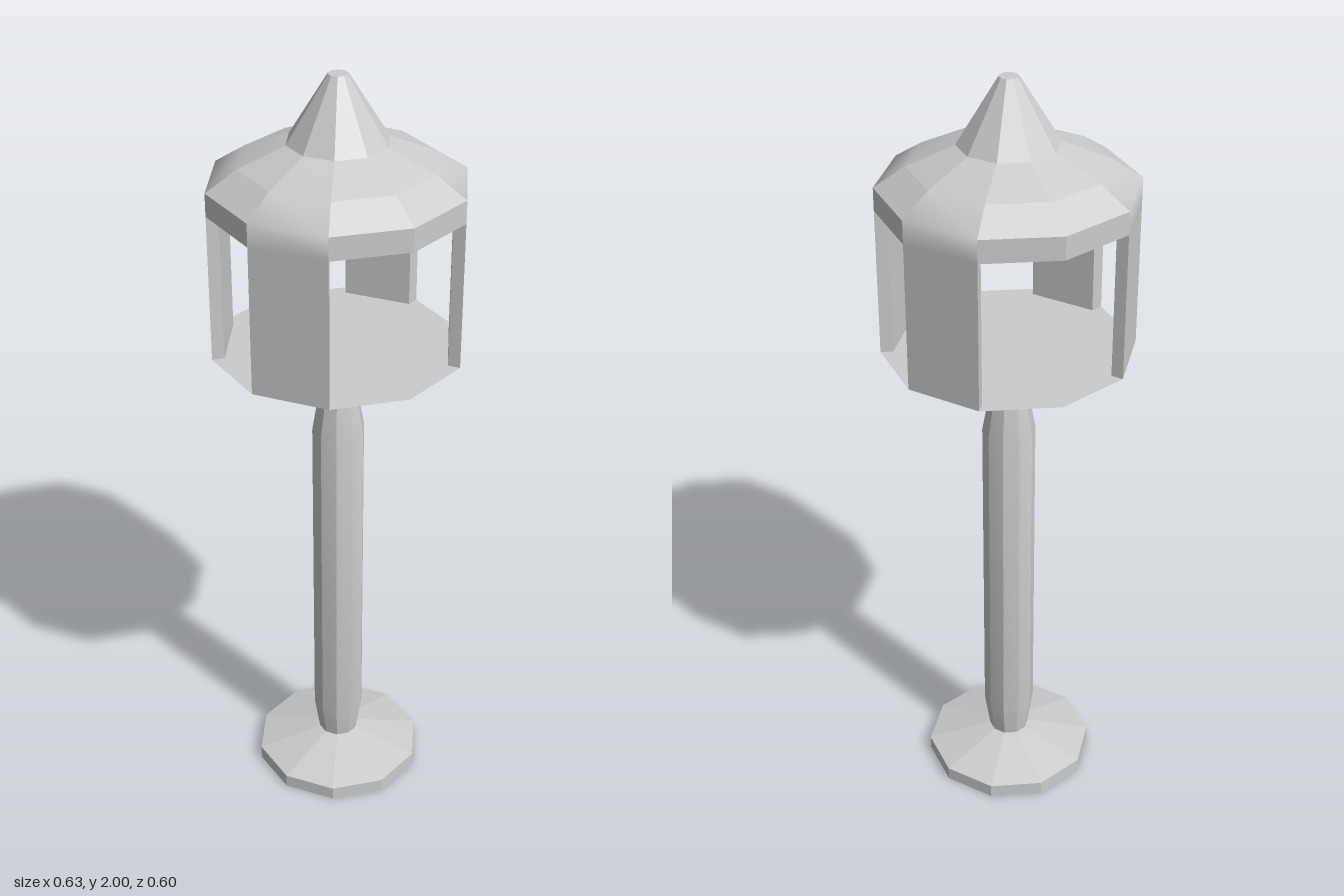
import * as THREE from 'three';
import { toCreasedNormals } from 'three/addons/utils/BufferGeometryUtils.js';

const SIDES = 10, STEP = (Math.PI * 2) / SIDES;
const R = 0.316, R_IN = 0.285;            // lantern outer and inner radius
const FLOOR = 1.307, CEIL = 1.684, EAVE = 1.742;
const CLOSED = [0, 3, 5, 8];              // sides filled by a wall panel, counted from +x towards +z

const grey = new THREE.MeshStandardMaterial({ color: 0xcccccc, side: THREE.DoubleSide });
const flatGrey = new THREE.MeshStandardMaterial({ color: 0xcccccc, flatShading: true });

function add(parent, name, geometry, material = grey) {
  const mesh = new THREE.Mesh(geometry, material);
  mesh.name = name;
  parent.add(mesh);
  return mesh;
}

// Ten-sided turned part with corners on the x axis, profile given bottom to top as [radius, y]
function turned(profile) {
  const pts = profile.map(([r, y]) => new THREE.Vector2(r, y));
  return new THREE.LatheGeometry(pts, SIDES, Math.PI / 2);
}

// Strip of quads from left/right pairs of [angle, radius, y], smooth along its length
function strip(pairs) {
  const pos = [], index = [];
  pairs.forEach((pair, i) => {
    for (const [a, r, y] of pair) pos.push(r * Math.cos(a), y, r * Math.sin(a));
    const k = i * 2;
    if (i < pairs.length - 1) index.push(k, k + 1, k + 2, k + 1, k + 3, k + 2);
  });
  const g = new THREE.BufferGeometry();
  g.setAttribute('position', new THREE.Float32BufferAttribute(pos, 3));
  g.setIndex(index);
  g.computeVertexNormals();
  return g;
}

export function createModel() {
  const model = new THREE.Group();
  model.name = 'lampPost';

  // Foot and post
  add(model, 'foot', turned([[0, 0], [0.225, 0], [0.225, 0.037], [0.053, 0.082]]), flatGrey);
  add(model, 'post', toCreasedNormals(
    turned([[0.053, 0.08], [0.068, 0.18], [0.068, 1.07], [0.04, 1.225]]), 0.55));

  // Lantern tray: tapered underside with a flat floor
  add(model, 'tray', turned([[0.04, 1.222], [R, FLOOR], [0, FLOOR]]), flatGrey);

  // Flat ceiling inside the roof
  const ceiling = add(model, 'ceiling', new THREE.CircleGeometry(R, SIDES));
  ceiling.rotation.x = Math.PI / 2;
  ceiling.position.y = CEIL;

  // Lantern sides: walls run smoothly into the roof, openings have a crisp header
  const roof = [[R, EAVE], [0.24, 1.792], [0.124, 1.84]];
  for (let i = 0; i < SIDES; i++) {
    const right = i * STEP, left = right + STEP;
    const face = (rows) => strip(rows.map(([r, y]) => [[left, r, y], [right, r, y]]));
    if (CLOSED.includes(i)) {
      const wall = new THREE.Group();
      wall.name = 'wallPanel';
      model.add(wall);
      add(wall, 'wallAndRoof', face([[R, FLOOR], [R, CEIL], ...roof]));
      add(wall, 'wallInside', face([[R_IN, CEIL], [R_IN, FLOOR]]));
      for (const a of [left, right])
        add(wall, 'wallEdge', strip([FLOOR, CEIL].map((y) => [[a, R_IN, y], [a, R, y]])));
    } else {
      add(model, 'header', face([[R, CEIL], [R, EAVE]]));
      add(model, 'roofLower', face(roof.slice(0, 2)));
      add(model, 'roofUpper', face(roof.slice(1)));
    }
  }

  // Pointed cap with a small flat tip
  add(model, 'spire', turned([[0.124, 1.84], [0.024, 2], [0, 2]]), flatGrey);

  return model;
}
